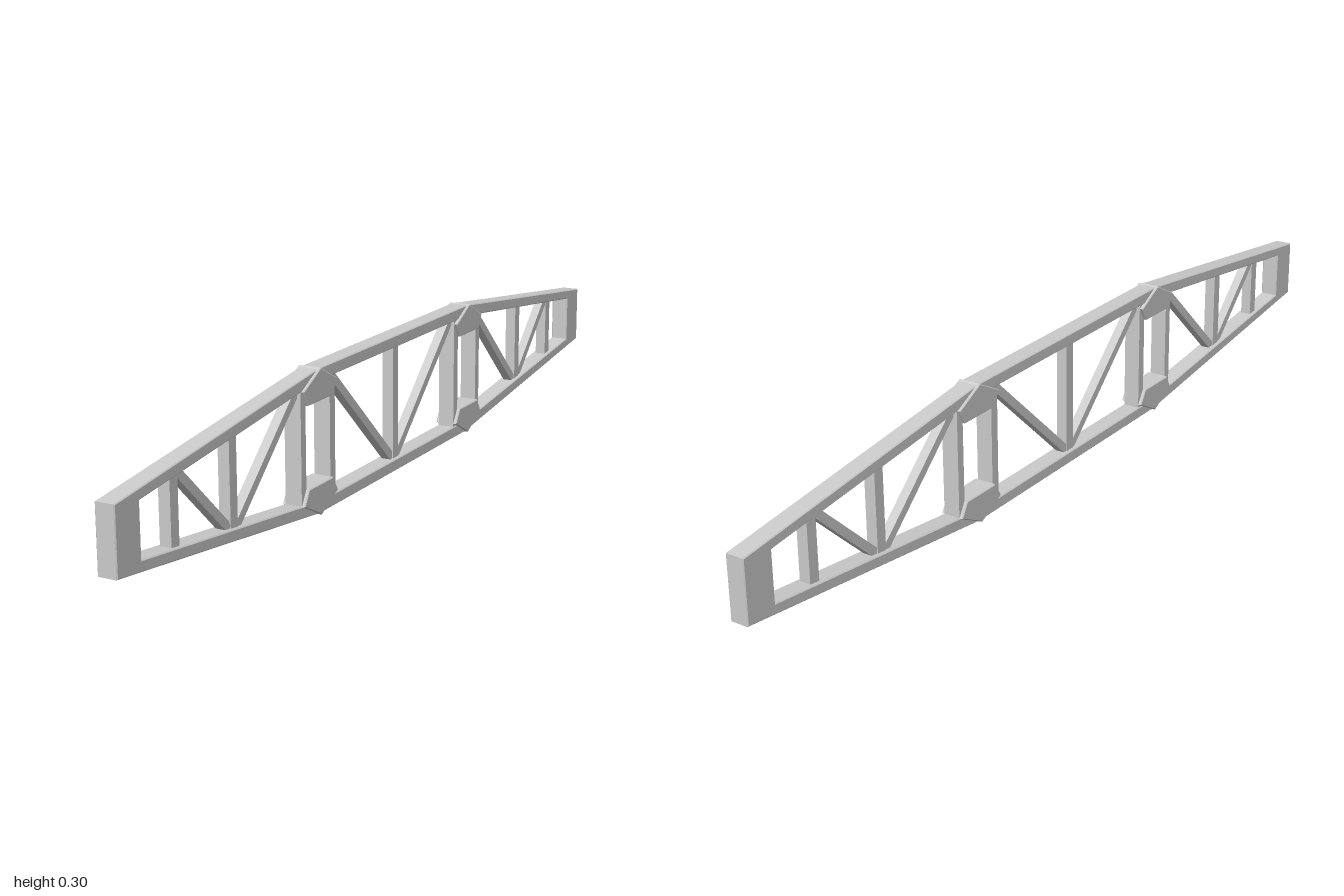
import * as THREE from 'three';

const material = new THREE.MeshStandardMaterial({ color: 0xcccccc, flatShading: true });
const MID = 0.148; // height of the horizontal mirror plane

// Extrude a side outline of [z, y] points to a given width along x, with small chamfers
function plate(name, outline, width, hole) {
  const toPoints = (pts) => pts.map(([z, y]) => new THREE.Vector2(z, y));
  const shape = new THREE.Shape(toPoints(outline));
  if (hole) shape.holes.push(new THREE.Path(toPoints(hole)));
  const c = 0.002;
  const geo = new THREE.ExtrudeGeometry(shape, {
    depth: width - 2 * c, bevelEnabled: true, bevelSize: c, bevelThickness: c, bevelOffset: -c, bevelSegments: 1,
  });
  geo.translate(0, 0, -(width - 2 * c) / 2);
  geo.rotateY(-Math.PI / 2);
  const mesh = new THREE.Mesh(geo, material);
  mesh.name = name;
  return mesh;
}

// Straight rectangular bar between two [z, y] points
function bar(name, [z0, y0], [z1, y1], width, thick) {
  const length = Math.hypot(z1 - z0, y1 - y0);
  const mesh = new THREE.Mesh(new THREE.BoxGeometry(width, length, thick), material);
  mesh.position.set(0, (y0 + y1) / 2, (z0 + z1) / 2);
  mesh.rotation.x = Math.atan2(z1 - z0, y1 - y0);
  mesh.name = name;
  return mesh;
}

// Closed loop symmetric about both axes, from half-height points running inward from the end
function symmetricLoop(zEnd, hEnd, zKnee, hKnee) {
  return [
    [zEnd, MID - hEnd], [zEnd, MID + hEnd], [zKnee, MID + hKnee], [-zKnee, MID + hKnee],
    [-zEnd, MID + hEnd], [-zEnd, MID - hEnd], [-zKnee, MID - hKnee], [zKnee, MID - hKnee],
  ];
}

export function createModel() {
  const group = new THREE.Group();

  // Outer frame: chords and solid end blocks
  group.add(plate('frame', symmetricLoop(1, 0.065, 0.335, 0.146), 0.04,
    symmetricLoop(0.93, 0.052, 0.335, 0.121)));

  // Central post
  group.add(bar('centrePost', [0, 0.02], [0, 0.28], 0.024, 0.024));

  for (const s of [1, -1]) {
    // Wide posts either side of each knee
    group.add(bar('kneePost', [s * 0.28, 0.02], [s * 0.28, 0.276], 0.036, 0.02));
    group.add(bar('kneePost', [s * 0.393, 0.025], [s * 0.393, 0.271], 0.036, 0.018));

    // Slim posts of the tapered bays
    group.add(bar('outerPost', [s * 0.633, 0.05], [s * 0.633, 0.246], 0.024, 0.024));
    group.add(bar('outerPost', [s * 0.82, 0.073], [s * 0.82, 0.223], 0.024, 0.024));

    // Diagonal braces
    group.add(bar('innerBrace', [s * 0.275, 0.273], [s * 0.005, 0.025], 0.02, 0.018));
    group.add(bar('middleBrace', [s * 0.395, 0.267], [s * 0.63, 0.05], 0.02, 0.018));
    group.add(bar('endBrace', [s * 0.815, 0.224], [s * 0.637, 0.055], 0.02, 0.018));

    // Gusset plates wrapping the knees, top and bottom
    for (const v of [1, -1]) {
      const outline = [[0.335, 0.148], [0.27, 0.114], [0.29, 0.083], [0.384, 0.083], [0.402, 0.114]]
        .map(([z, h]) => [s * z, MID + v * h]);
      group.add(plate('gusset', outline, 0.05));
    }
  }
  return group;
}
